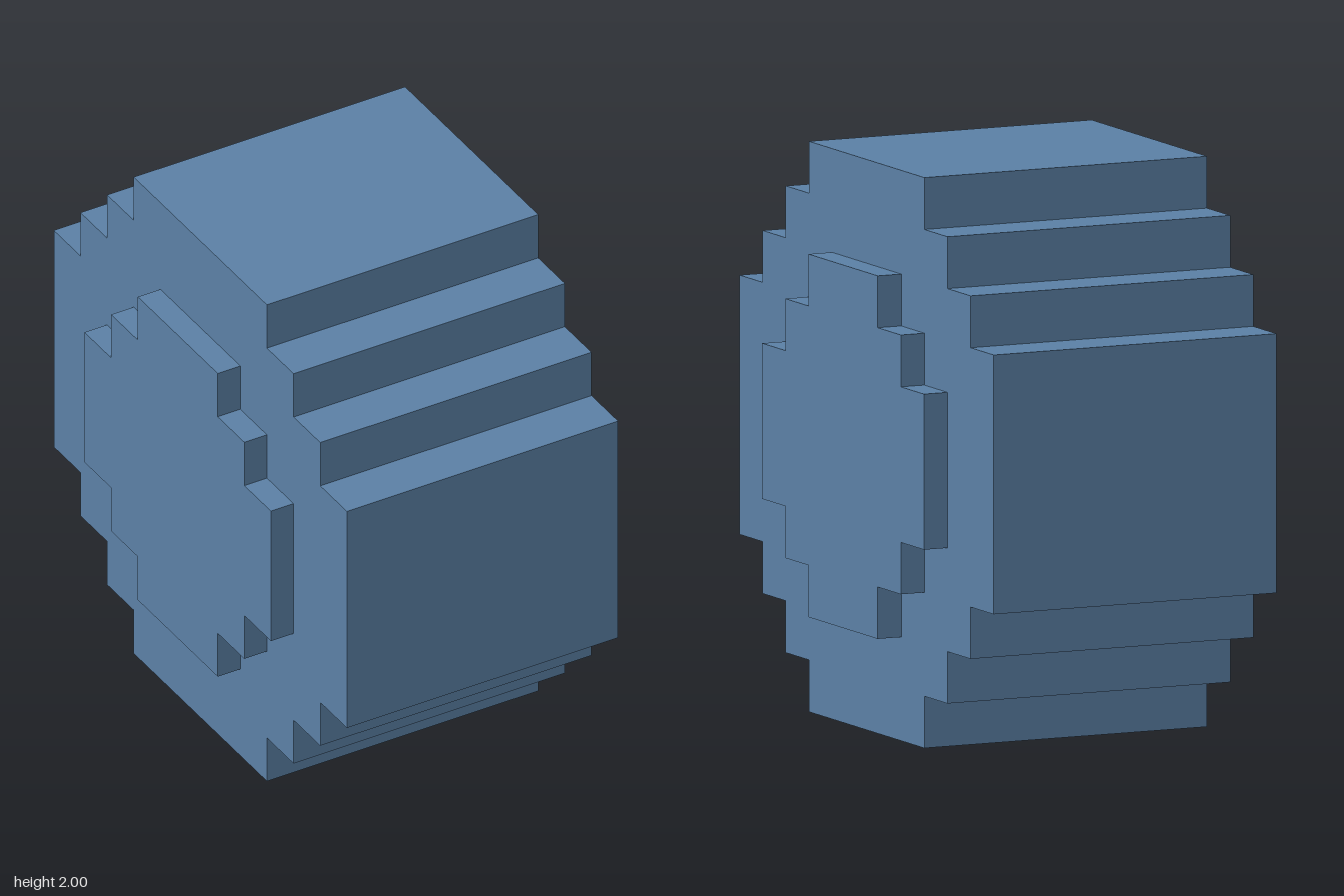
import * as THREE from 'three';

const U = 2 / 11; // one voxel step

// Stepped disc outline: corner points of one quadrant, mirrored to all four
function steppedDisc(halfWidths, x0, x1, material, name) {
  const n = halfWidths.length;
  const quadrant = [];
  for (let i = 0; i < n; i++) {
    quadrant.push([halfWidths[n - 1 - i], halfWidths[i]]);
    if (i < n - 1) quadrant.push([halfWidths[n - 2 - i], halfWidths[i]]);
  }
  const points = [];
  for (let q = 0; q < 4; q++) {
    const a = (q * Math.PI) / 2, c = Math.round(Math.cos(a)), s = Math.round(Math.sin(a));
    for (const [x, y] of quadrant) points.push(new THREE.Vector2((x * c - y * s) * U, (x * s + y * c) * U));
  }
  const geometry = new THREE.ExtrudeGeometry(new THREE.Shape(points), { depth: (x1 - x0) * U, bevelEnabled: false });
  geometry.rotateY(Math.PI / 2); // extrude along x
  geometry.translate(x0 * U, 1, 0);
  const mesh = new THREE.Mesh(geometry, material);
  mesh.name = name;
  return mesh;
}

export function createModel() {
  const group = new THREE.Group();
  group.name = 'blockWheel';
  const blue = new THREE.MeshStandardMaterial({ color: 0x5b80a5 });
  blue.name = 'steel blue';

  // Wide stepped tread
  group.add(steppedDisc([2.5, 3.5, 4.5, 5.5], -3, 3, blue, 'tyre'));

  // Raised hub plate on each side
  const hub = [1.5, 2.5, 3.5];
  group.add(steppedDisc(hub, 3, 3.5, blue, 'leftHub'));
  group.add(steppedDisc(hub, -3.5, -3, blue, 'rightHub'));
  return group;
}
